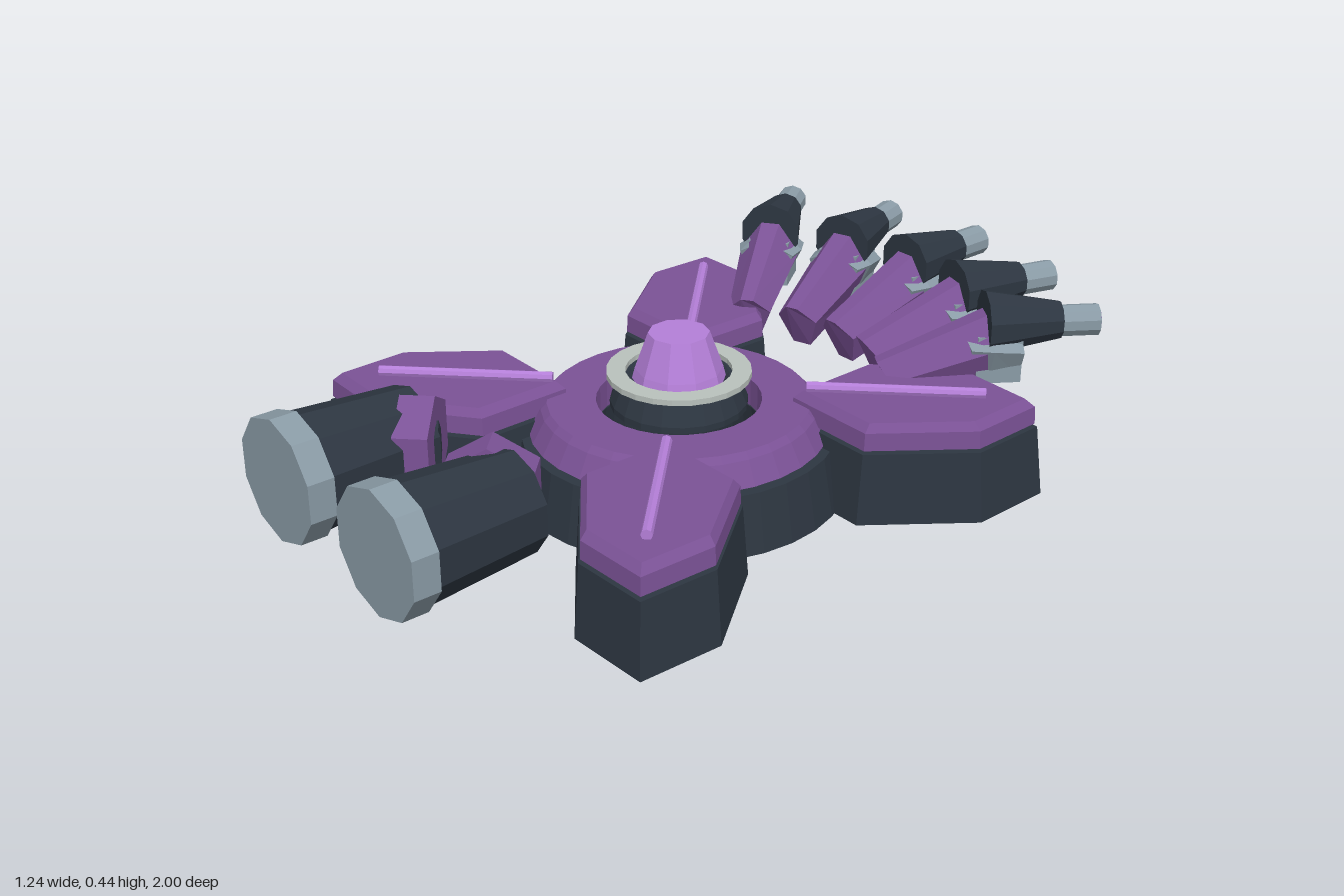
import * as THREE from 'three';

const mat = (name, color) => new THREE.MeshStandardMaterial({ name, color, flatShading: true });

// Closed solid through cross-sections with equal point counts, capped at both ends
function loft(rings) {
  const pos = [], n = rings[0].length, last = rings[rings.length - 1];
  const tri = (a, b, c) => pos.push(...a, ...b, ...c);
  for (let r = 0; r < rings.length - 1; r++) {
    for (let i = 0; i < n; i++) {
      const j = (i + 1) % n, A = rings[r], B = rings[r + 1];
      tri(A[i], A[j], B[j]);
      tri(A[i], B[j], B[i]);
    }
  }
  for (let i = 1; i < n - 1; i++) {
    tri(rings[0][0], rings[0][i + 1], rings[0][i]);
    tri(last[0], last[i], last[i + 1]);
  }
  // turn the solid outward if its signed volume is negative
  let volume = 0;
  const v = k => new THREE.Vector3(pos[k], pos[k + 1], pos[k + 2]);
  for (let k = 0; k < pos.length; k += 9) volume += v(k).dot(v(k + 3).cross(v(k + 6)));
  if (volume < 0) {
    for (let k = 0; k < pos.length; k += 9) {
      for (let c = 0; c < 3; c++) {
        const t = pos[k + 3 + c];
        pos[k + 3 + c] = pos[k + 6 + c];
        pos[k + 6 + c] = t;
      }
    }
  }
  const g = new THREE.BufferGeometry();
  g.setAttribute('position', new THREE.Float32BufferAttribute(pos, 3));
  g.computeVertexNormals();
  return g;
}

// Turned part from [radius, height] pairs, bottom to top on the outside
const lathe = (pts, sides) =>
  new THREE.LatheGeometry(pts.map(p => new THREE.Vector2(p[0], p[1])), sides);

export function createModel() {
  const model = new THREE.Group();
  model.name = 'model';
  const dark = mat('dark slate', 0x2d3641);
  const purple = mat('purple', 0x7b5296);
  const lilac = mat('lilac', 0xb47fd8);
  const steel = mat('steel grey', 0x8a9ba6);
  const pale = mat('pale grey', 0xb9c1bc);

  const add = (parent, name, geometry, material, x = 0, y = 0, z = 0) => {
    const m = new THREE.Mesh(geometry, material);
    m.name = name;
    m.position.set(x, y, z);
    parent.add(m);
    return m;
  };

  // Central hub
  const hub = new THREE.Group();
  hub.name = 'hub';
  hub.position.z = 0.035;
  model.add(hub);
  add(hub, 'hubBase', lathe([[0.22, 0], [0.405, 0], [0.38, 0.145], [0.2, 0.145], [0.22, 0]], 32), dark);
  add(hub, 'hubDeck', lathe([[0.198, 0.15], [0.36, 0.15], [0.33, 0.205], [0.315, 0.22],
    [0.198, 0.22], [0.198, 0.15]], 32), purple);
  add(hub, 'turretCollar', lathe([[0, 0.205], [0.165, 0.205], [0.165, 0.22], [0.14, 0.282],
    [0.12, 0.282], [0.1, 0.265], [0, 0.265]], 20), dark);
  add(hub, 'turretRing', lathe([[0.127, 0.281], [0.173, 0.281], [0.173, 0.295], [0.127, 0.295], [0.127, 0.281]], 24), pale);
  add(hub, 'turretDome', lathe([[0, 0.26], [0.115, 0.26], [0.105, 0.3], [0.073, 0.39], [0, 0.39]], 10), lilac);

  // Four corner pods
  const outline = [[0.175, 0.175], [0.44, 0.172], [0.615, 0.4], [0.61, 0.61], [0.4, 0.615], [0.172, 0.44]];
  const centre = 0.39;
  for (const sx of [-1, 1]) {
    for (const sz of [-1, 1]) {
      const pod = new THREE.Group();
      pod.name = (sz > 0 ? 'front' : 'rear') + (sx > 0 ? 'Left' : 'Right') + 'Pod';
      pod.position.z = 0.035;
      model.add(pod);
      const ring = (y, k) => outline.map(([x, z]) =>
        [sx * (centre + (x - centre) * k), y, sz * (centre + (z - centre) * k)]);
      add(pod, 'podBase', loft([ring(0, 1.02), ring(0.178, 0.95)]), dark);
      add(pod, 'podCover', loft([ring(0.186, 0.93), ring(0.23, 0.92), ring(0.25, 0.84)]), purple);
      const bar = new THREE.CylinderGeometry(0.013, 0.013, 0.42, 8);
      bar.rotateX(Math.PI / 2);
      bar.rotateY(sx * sz * Math.PI / 4);
      add(pod, 'podBar', bar, lilac, sx * 0.362, 0.26, sz * 0.362);
    }
  }

  // Twin front cannons
  const tube = (front, back, length, sides) =>
    new THREE.CylinderGeometry(front, back, length, sides).rotateX(Math.PI / 2);
  for (const s of [-1, 1]) {
    const cannon = new THREE.Group();
    cannon.name = s > 0 ? 'leftCannon' : 'rightCannon';
    cannon.position.set(s * 0.2, 0.247, 0);
    model.add(cannon);
    add(cannon, 'muzzle', tube(0.149, 0.149, 0.065, 10), steel, 0, 0, 0.9675);
    add(cannon, 'barrel', tube(0.139, 0.119, 0.285, 10), dark, 0, 0, 0.7925);
    // angled coupling facing the hub
    const coupling = new THREE.Group();
    coupling.name = 'coupling';
    coupling.position.set(-s * 0.06, 0.01, 0.67);
    coupling.rotation.y = s * Math.PI / 4;
    cannon.add(coupling);
    add(coupling, 'couplingPlate', tube(0.115, 0.115, 0.08, 6), purple);
    const slot = add(coupling, 'couplingSlot', tube(0.055, 0.055, 0.008, 6), dark, 0, 0, -0.041);
    slot.scale.x = 0.35;
  }

  // Fan of five rear fingers
  const section = (w, yTop, yMid, yLow, zTop, zLow) => {
    const zMid = (zTop + zLow) / 2;
    return [[-0.3 * w, yTop, -zTop], [0.3 * w, yTop, -zTop], [w, yMid, -zMid],
      [0.45 * w, yLow, -zLow], [-0.45 * w, yLow, -zLow], [-w, yMid, -zMid]];
  };
  const arm = loft([section(0.055, 0.275, 0.235, 0.155, 0.41, 0.47),
    section(0.08, 0.39, 0.32, 0.222, 0.67, 0.7)]);
  const knuckle = loft([section(0.072, 0.35, 0.32, 0.225, 0.615, 0.64),
    section(0.085, 0.37, 0.32, 0.225, 0.68, 0.68), section(0.075, 0.35, 0.31, 0.23, 0.755, 0.755)]);
  const block = new THREE.BoxGeometry(0.11, 0.12, 0.11);
  const rod = (tip, base, length, sides) =>
    new THREE.CylinderGeometry(tip, base, length, sides).rotateX(-Math.PI / 2);
  for (let i = -2; i <= 2; i++) {
    const finger = new THREE.Group();
    finger.name = 'finger' + (i + 3);
    finger.position.z = -0.05;
    finger.rotation.y = -i * THREE.MathUtils.degToRad(17.4);
    model.add(finger);
    add(finger, 'fingerArm', arm, purple);
    add(finger, 'fingerKnuckle', knuckle, steel);
    add(finger, 'fingerKnuckleBlock', block, steel, 0, 0.286, -0.7);
    add(finger, 'fingerBarrel', rod(0.046, 0.08, 0.185, 10), dark, 0, 0.363, -0.7625);
    add(finger, 'fingerTip', rod(0.039, 0.039, 0.1, 10), steel, 0, 0.36, -0.898);
    add(finger, 'fingerLens', rod(0.033, 0.033, 0.004, 10), purple, 0, 0.36, -0.948);
  }
  return model;
}
